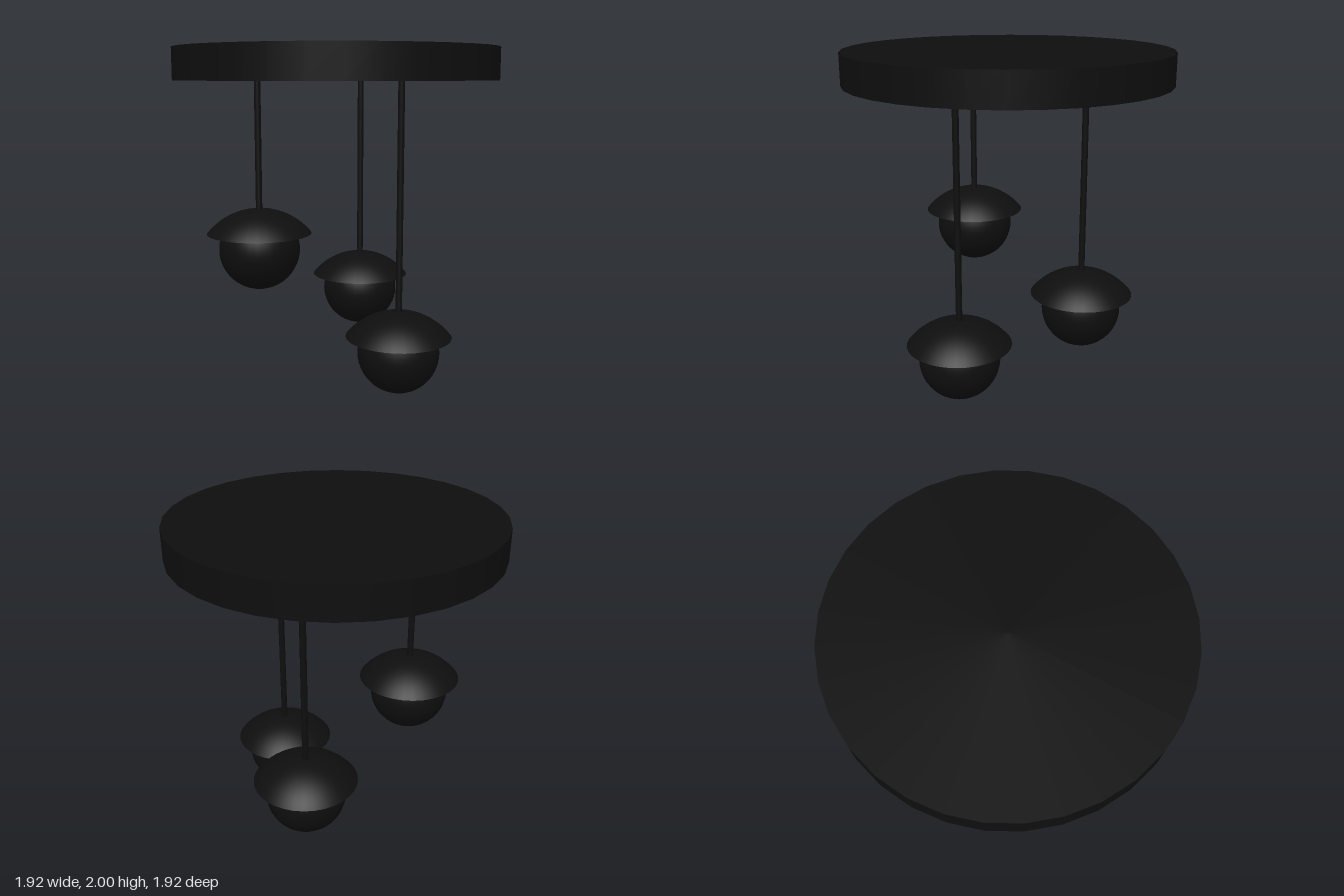
import * as THREE from 'three';

const PLATE_BOTTOM = 1.81;
const BALL_RADIUS = 0.24;
const SHADE_RADIUS = 0.4; // radius of the sphere the shade is cut from
const SHADE_ANGLE = Math.asin(0.31 / SHADE_RADIUS);

export function createModel() {
  const model = new THREE.Group();
  model.name = 'pendantLamp';
  const black = new THREE.MeshStandardMaterial({ color: 0x0e0e0e });
  const blackThin = new THREE.MeshStandardMaterial({ color: 0x0e0e0e, side: THREE.DoubleSide });

  function add(parent, name, geometry, material, y) {
    const mesh = new THREE.Mesh(geometry, material);
    mesh.name = name;
    mesh.position.y = y;
    parent.add(mesh);
  }

  // Round ceiling plate
  add(model, 'ceilingPlate', new THREE.CylinderGeometry(0.96, 0.96, 2 - PLATE_BOTTOM, 32), black, (2 + PLATE_BOTTOM) / 2);

  const ball = new THREE.SphereGeometry(BALL_RADIUS, 32, 24);
  const shade = new THREE.SphereGeometry(SHADE_RADIUS, 32, 12, 0, Math.PI * 2, 0, SHADE_ANGLE);

  // Three pendants: x, height of the ball's centre, z
  const pendants = [
    ['leftPendant', 0.46, 0.24, 0.19],
    ['backPendant', 0, 0.435, -0.46],
    ['rightPendant', -0.37, 0.82, 0.31],
  ];
  for (const [name, x, y, z] of pendants) {
    const pendant = new THREE.Group();
    pendant.name = name;
    pendant.position.set(x, 0, z);
    const top = y + BALL_RADIUS;
    const length = PLATE_BOTTOM - top + 0.01;
    add(pendant, 'rod', new THREE.CylinderGeometry(0.019, 0.019, length, 16), black, PLATE_BOTTOM - length / 2);
    add(pendant, 'ball', ball, black, y);
    // Open domed shade resting on the ball
    add(pendant, 'shade', shade, blackThin, top - SHADE_RADIUS + 0.002);
    model.add(pendant);
  }
  return model;
}
